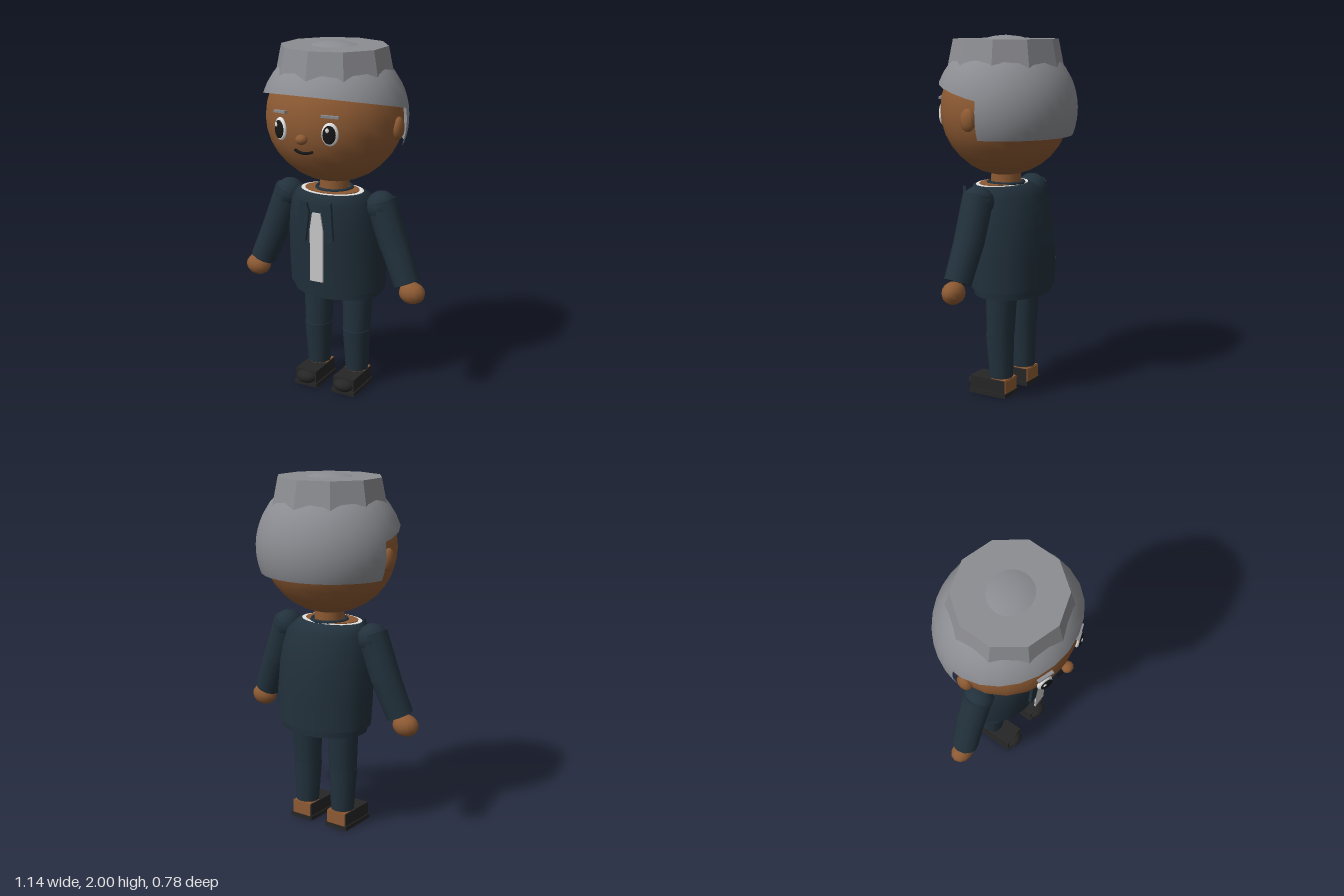
import * as THREE from 'three';
import { ParametricGeometry } from 'three/addons/geometries/ParametricGeometry.js';

const mat = (name, color, side = THREE.FrontSide) => {
  const m = new THREE.MeshStandardMaterial({ color, side });
  m.name = name;
  return m;
};

export function createModel() {
  const model = new THREE.Group();
  const skin = mat('skin', 0x8d5a33);
  const hair = mat('hair', 0x8c8d92, THREE.DoubleSide);
  const suit = mat('suit', 0x22313c, THREE.DoubleSide);
  const shoe = mat('shoe', 0x262626);
  const white = mat('white', 0xe4e4e4);
  const shirt = mat('shirt', 0xc8c8c8);
  const black = mat('black', 0x161616);

  const add = (name, geo, material, x = 0, y = 0, z = 0, parent = model) => {
    const m = new THREE.Mesh(geo, material);
    m.name = name;
    m.position.set(x, y, z);
    parent.add(m);
    return m;
  };
  const ball = (rx, ry, rz, w = 16, h = 12) => new THREE.SphereGeometry(1, w, h).scale(rx, ry, rz);
  // tapered tube between two points
  const limb = (name, a, b, ra, rb, material) => {
    const p = new THREE.Vector3(...a), q = new THREE.Vector3(...b);
    const d = q.clone().sub(p);
    const m = add(name, new THREE.CylinderGeometry(rb, ra, d.length(), 12), material);
    m.position.copy(p).addScaledVector(d, 0.5);
    m.quaternion.setFromUnitVectors(new THREE.Vector3(0, 1, 0), d.normalize());
    return m;
  };
  // elliptical rings: [y, half width, front z, back z]
  const loft = (rings, segments = 24) => new ParametricGeometry((u, v, out) => {
    const t = v * (rings.length - 1), i = Math.min(Math.floor(t), rings.length - 2);
    const [y, rx, f, b] = rings[i].map((n, k) => n + (rings[i + 1][k] - n) * (t - i));
    const a = u * Math.PI * 2;
    out.set(Math.sin(a) * rx, y, (f + b) / 2 + Math.cos(a) * (f - b) / 2);
  }, segments, rings.length - 1);

  // Head
  add('head', ball(0.385, 0.365, 0.35, 20, 16), skin, 0, 1.6, 0);
  add('nose', ball(0.034, 0.027, 0.03, 10, 8), skin, 0, 1.535, 0.362);
  add('neck', new THREE.CylinderGeometry(0.082, 0.085, 0.14, 14), skin, 0, 1.21, 0);

  // Hair: a cap with a sloping rim, a longer shell behind, and a faceted crown
  const RX = 0.41, RY = 0.4, RZ = 0.39;
  const onHair = (a, e, out) => out.set(
    RX * Math.cos(e) * Math.sin(a), 1.6 + RY * Math.sin(e), RZ * Math.cos(e) * Math.cos(a));
  add('hairCap', new ParametricGeometry((u, v, out) => {
    const a = u * Math.PI * 2, slope = 0.23 * RZ * Math.cos(a);
    const rim = Math.asin(0.078 / Math.hypot(RY, slope)) + Math.atan2(slope, RY);
    onHair(a, rim + (Math.PI / 2 - 0.01 - rim) * v, out);
  }, 24, 8), hair);
  add('hairBack', new ParametricGeometry((u, v, out) => {
    const e = -0.358 + v * 0.80;
    const edge = Math.acos(-0.055 / (RZ * Math.cos(e)));
    onHair(edge + u * 2 * (Math.PI - edge), e, out);
  }, 16, 8), hair);
  const crown = new THREE.CylinderGeometry(0.293, 0.328, 0.17, 10).toNonIndexed();
  crown.computeVertexNormals();
  add('hairCrown', crown, hair, 0, 1.895, 0).scale.z = 0.98;

  // Mouth
  const smile = new THREE.QuadraticBezierCurve3(
    new THREE.Vector3(-0.055, 1.47, 0.333), new THREE.Vector3(0, 1.445, 0.35), new THREE.Vector3(0.055, 1.47, 0.333));
  add('mouth', new THREE.TubeGeometry(smile, 10, 0.008, 6), black);

  // Collar and neck opening
  const disc = (name, r, h, y, m) => {
    add(name, new THREE.CylinderGeometry(r, r, h, 24), m, 0, y, 0.025).scale.z = 0.7;
  };
  disc('collar', 0.185, 0.012, 1.183, white);
  disc('chest', 0.16, 0.02, 1.183, skin);
  add('neckband', new THREE.TorusGeometry(0.098, 0.011, 6, 18).rotateX(Math.PI / 2), suit, 0, 1.193, 0);

  // Jacket, open at the hem
  add('jacket', loft([
    [0.62, 0.285, 0.165, -0.265], [0.78, 0.288, 0.183, -0.266], [0.95, 0.28, 0.2, -0.252],
    [1.04, 0.27, 0.204, -0.235], [1.13, 0.25, 0.197, -0.205], [1.185, 0.205, 0.165, -0.11],
    [1.187, 0.18, 0.15, -0.1],
  ]), suit);
  add('hem', loft([[0.58, 0.262, 0.15, -0.25], [0.63, 0.268, 0.155, -0.255]]), suit);
  add('hemLedge', loft([[0.62, 0.26, 0.15, -0.25], [0.621, 0.285, 0.165, -0.265]]), suit);
  add('hips', new THREE.CylinderGeometry(0.25, 0.24, 0.03, 24), skin, 0, 0.61, -0.05).scale.z = 0.76;

  // Flat cut pieces on the chest
  const plate = (name, points, depth, z, m) => add(name, new THREE.ExtrudeGeometry(
    new THREE.Shape(points.map(p => new THREE.Vector2(...p))), { depth, bevelEnabled: false }), m, 0, 0, z);
  plate('tie', [[-0.04, 0.7], [0.04, 0.7], [0.04, 1.0], [0.025, 1.095], [-0.025, 1.095], [-0.04, 1.0]],
    0.009, 0.204, shirt);

  for (const [side, s] of [['left', 1], ['right', -1]]) {
    // Face details and ear
    add(side + 'Ear', ball(0.03, 0.062, 0.045, 10, 10), skin, s * 0.383, 1.565, 0);
    const eye = new THREE.Group();
    eye.name = side + 'Eye';
    eye.position.set(s * 0.147, 1.57, 0.323);
    eye.rotation.y = s * 0.35;
    model.add(eye);
    add('eyeWhite', ball(0.045, 0.062, 0.018), white, 0, 0, 0, eye);
    add('pupil', ball(0.035, 0.049, 0.008), black, s * -0.003, 0, 0.014, eye);
    add('glint', ball(0.01, 0.013, 0.004, 8, 6), white, -0.012, 0.024, 0.021, eye);
    const brow = add(side + 'Eyebrow', new THREE.BoxGeometry(0.092, 0.013, 0.018), hair, s * 0.147, 1.662, 0.325);
    brow.rotation.set(0, s * 0.35, s * -0.06);

    // Lapel
    const lapel = [[0.055, 1.15], [0.04, 1.1], [0.062, 0.93], [0.108, 0.95], [0.095, 1.165]];
    plate(side + 'Lapel', lapel.map(([x, y]) => [s * x, y]), 0.018, 0.206, suit);

    // Arm
    add(side + 'Shoulder', ball(0.085, 0.085, 0.09, 12, 8), suit, s * 0.29, 1.122, 0);
    limb(side + 'UpperArm', [s * 0.375, 0.91, 0.004], [s * 0.285, 1.15, 0], 0.083, 0.085, suit);
    limb(side + 'Forearm', [s * 0.46, 0.71, 0.02], [s * 0.37, 0.925, 0.002], 0.075, 0.082, suit);
    add(side + 'Hand', ball(0.076, 0.062, 0.06, 12, 8), skin, s * 0.494, 0.66, 0.024);

    // Leg
    limb(side + 'Thigh', [s * 0.124, 0.35, -0.04], [s * 0.126, 0.63, -0.048], 0.078, 0.09, suit);
    limb(side + 'Shin', [s * 0.124, 0.105, -0.045], [s * 0.124, 0.355, -0.036], 0.066, 0.08, suit);
    limb(side + 'Ankle', [s * 0.124, 0.08, -0.045], [s * 0.124, 0.115, -0.045], 0.06, 0.06, skin);

    // Shoe with bare heel
    add(side + 'Sole', new THREE.BoxGeometry(0.145, 0.025, 0.24), shoe, s * 0.122, 0.0125, 0.01);
    add(side + 'Shoe', new THREE.BoxGeometry(0.132, 0.076, 0.225), shoe, s * 0.122, 0.06, 0.01);
    add(side + 'Toe', ball(0.064, 0.04, 0.055, 12, 8), shoe, s * 0.122, 0.055, 0.11);
    add(side + 'Heel', new THREE.BoxGeometry(0.122, 0.07, 0.012), skin, s * 0.122, 0.06, -0.102);
    add(side + 'FootTop', new THREE.BoxGeometry(0.122, 0.008, 0.09), skin, s * 0.122, 0.097, -0.06);
  }
  return model;
}
